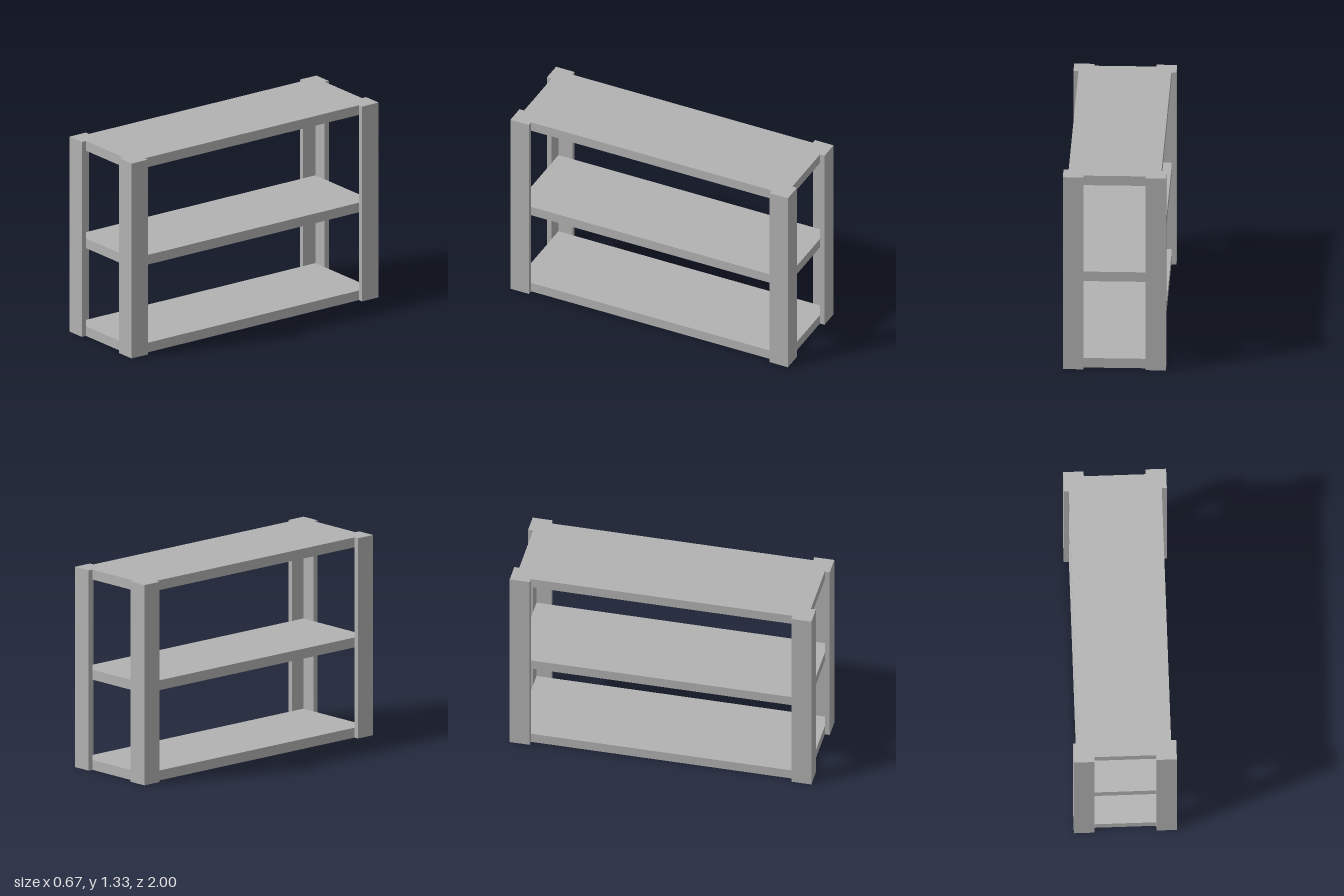
import * as THREE from 'three';

const HEIGHT = 4 / 3;
const HALF_X = 1 / 3;   // half width to the outside of the posts
const HALF_Z = 1;       // half length to the outside of the posts
const LEG = 0.133;      // length of each leg of the angle post
const WALL = 0.033;     // wall thickness of the angle post
const BOARD = 0.066;    // shelf thickness

export function createModel() {
  const group = new THREE.Group();
  group.name = 'shelfUnit';
  const grey = new THREE.MeshStandardMaterial({ color: 0xb2b2b2 });
  grey.name = 'grey';

  // L-shaped post, its outer corner on the origin, legs towards -x and -z
  const profile = new THREE.Shape([
    [0, 0], [0, LEG], [-WALL, LEG], [-WALL, WALL], [-LEG, WALL], [-LEG, 0],
  ].map(([x, y]) => new THREE.Vector2(x, y)));
  const postGeometry = new THREE.ExtrudeGeometry(profile, { depth: HEIGHT, bevelEnabled: false });
  postGeometry.rotateX(-Math.PI / 2);

  // One post on each corner, turned a quarter each time
  const corners = [
    ['frontLeftPost', 1, 1], ['backLeftPost', 1, -1],
    ['backRightPost', -1, -1], ['frontRightPost', -1, 1],
  ];
  corners.forEach(([name, sx, sz], i) => {
    const post = new THREE.Mesh(postGeometry, grey);
    post.name = name;
    post.position.set(sx * HALF_X, 0, sz * HALF_Z);
    post.rotation.y = i * Math.PI / 2;
    group.add(post);
  });

  // Three boards seated inside the angle posts
  const boardGeometry = new THREE.BoxGeometry(2 * (HALF_X - WALL), BOARD, 2 * (HALF_Z - WALL));
  const boards = [['bottomShelf', BOARD], ['middleShelf', HEIGHT / 2], ['topShelf', HEIGHT]];
  for (const [name, top] of boards) {
    const board = new THREE.Mesh(boardGeometry, grey);
    board.name = name;
    board.position.y = top - BOARD / 2;
    group.add(board);
  }

  return group;
}
